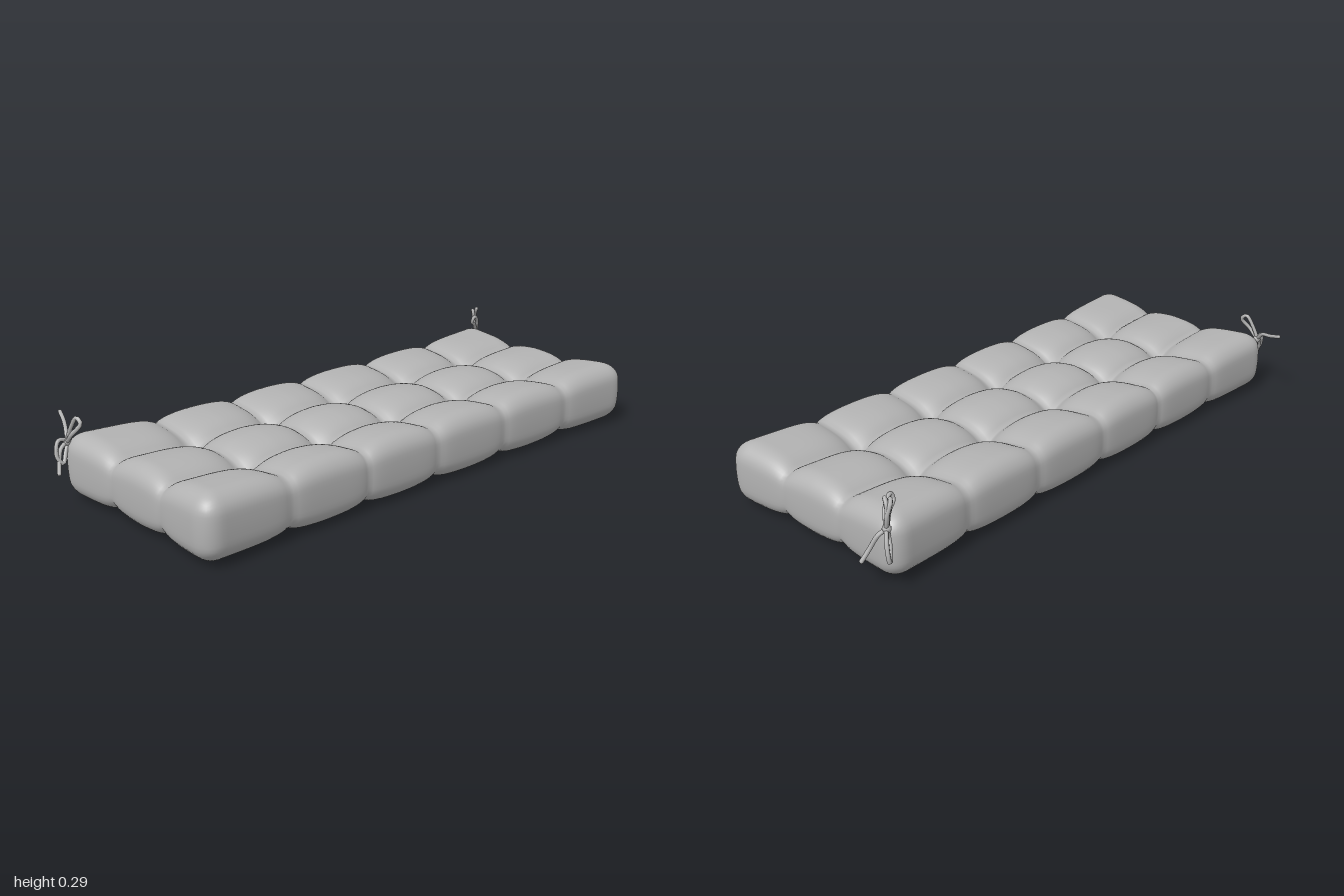
import * as THREE from 'three';
import { mergeVertices } from 'three/addons/utils/BufferGeometryUtils.js';

const HALF = new THREE.Vector3(0.925, 0.11, 0.36);
const CX = -0.012, CZ = 0.045;
const SEAM_X = [-0.63, -0.325, -0.022, 0.295, 0.608];
const SEAM_Z = [-0.078, 0.178];
const ROUND = 0.06;

const nearest = (v, list) => Math.min(...list.map((s) => Math.abs(v - s)));
const crease = (d, width) => Math.exp(-d / width);

// Height of the tufted upper (side = 1) or lower (side = -1) face
function faceHeight(x, z, side) {
  const ex = Math.min(1, Math.abs((x - CX) / HALF.x)), ez = Math.min(1, Math.abs((z - CZ) / HALF.z));
  const dx = nearest(x, SEAM_X), dz = nearest(z, SEAM_Z);
  const inner = (1 - ez ** 3) * (1 - ex ** 6);
  const pull = (0.024 + 0.018 * inner) * crease(dx, 0.042)
    + (0.032 + 0.014 * inner) * crease(dz, 0.042)
    + 0.014 * crease(Math.hypot(dx, dz), 0.05);
  if (side < 0) return 0.004 + 0.8 * pull + 0.012 * (ex * ez) ** 4;
  return 0.216 + 0.014 * ex ** 4 * ez ** 2 - pull;
}

// Rounded block whose faces are drawn in along the seams
function cushionGeometry() {
  let g = new THREE.BoxGeometry(HALF.x * 2, HALF.y * 2, HALF.z * 2, 130, 14, 60);
  g.deleteAttribute('uv');
  g.deleteAttribute('normal');
  g = mergeVertices(g);
  const pos = g.attributes.position;
  const inner = HALF.clone().subScalar(ROUND), low = inner.clone().negate();
  const p = new THREE.Vector3(), q = new THREE.Vector3();
  for (let i = 0; i < pos.count; i++) {
    p.fromBufferAttribute(pos, i);
    q.copy(p).clamp(low, inner);
    p.sub(q).setLength(ROUND).add(q);
    const u = p.x / HALF.x, v = p.y / HALF.y, w = p.z / HALF.z;
    const x0 = p.x + CX, z0 = p.z + CZ;
    const top = faceHeight(x0, z0, 1), bottom = faceHeight(x0, z0, -1);
    // Outline: flared corners, bulging sides and pinched seams
    const bulge = 0.01 * (1 - v * v);
    const pinchX = 0.006 * crease(nearest(z0, SEAM_Z), 0.03);
    const pinchZ = 0.01 * crease(nearest(x0, SEAM_X), 0.025);
    const x = x0 + Math.sign(u) * Math.abs(u) ** 6 * (0.02 * w * w - 0.008 + bulge - pinchX);
    const z = z0 + Math.sign(w) * Math.abs(w) ** 4 * (0.02 * u ** 4 - 0.006 + bulge - pinchZ);
    pos.setXYZ(i, x, THREE.MathUtils.lerp(bottom, top, (v + 1) / 2), z);
  }
  g.computeVertexNormals();
  return g;
}

export function createModel() {
  const model = new THREE.Group();
  model.name = 'tuftedBenchCushion';
  const fabric = new THREE.MeshStandardMaterial({ color: 0xb2b2b2 });
  fabric.name = 'grey fabric';

  const add = (parent, geometry, name) => {
    const mesh = new THREE.Mesh(geometry, fabric);
    mesh.name = name;
    parent.add(mesh);
    return mesh;
  };

  add(model, cushionGeometry(), 'cushion');

  // Buttons where the seams cross, above and below
  const buttons = new THREE.Group();
  buttons.name = 'buttons';
  model.add(buttons);
  const buttonGeometry = new THREE.SphereGeometry(0.011, 12, 8);
  for (const x of SEAM_X) for (const z of SEAM_Z) for (const side of [1, -1]) {
    const b = add(buttons, buttonGeometry, side > 0 ? 'topButton' : 'bottomButton');
    b.position.set(x, faceHeight(x, z, side) + side * 0.002, z);
    b.scale.y = 0.6;
  }

  // A tie bow: paths are offsets from the knot; closed ones are loops
  function bow(name, knot, loops, tails) {
    const group = new THREE.Group();
    group.name = name;
    group.position.set(...knot);
    model.add(group);
    add(group, new THREE.SphereGeometry(0.014, 12, 8), 'knot');
    const cord = (points, closed, label) => {
      const path = new THREE.CatmullRomCurve3(
        [[0, 0, 0], ...points].map((a) => new THREE.Vector3(...a)), closed);
      add(group, new THREE.TubeGeometry(path, 28, 0.0068, 8, closed), label);
      if (closed) return;
      const cap = add(group, new THREE.SphereGeometry(0.0068, 8, 6), 'tailEnd');
      cap.position.set(...points[points.length - 1]);
    };
    loops.forEach((l) => cord(l, true, 'loop'));
    tails.forEach((t) => cord(t, false, 'tail'));
  }

  bow('rightTie', [-0.94, 0.195, -0.305],
    [
      [[0.005, 0.05, 0.02], [0.012, 0.085, 0.045], [0.015, 0.07, 0.062], [-0.005, 0.03, 0.035]],
      [[-0.03, 0.01, 0], [-0.045, -0.035, 0.01], [-0.03, -0.06, 0.02], [-0.012, -0.03, 0.008]],
    ],
    [
      [[0.015, 0.03, -0.03], [0.035, 0.042, -0.075], [0.05, 0.055, -0.12]],
      [[-0.025, -0.015, 0.005], [-0.04, -0.05, 0.015], [-0.052, -0.085, 0.03]],
    ]);

  bow('leftTie', [0.925, 0.195, -0.305],
    [
      [[-0.015, 0.045, 0.004], [-0.02, 0.085, 0.002], [-0.008, 0.082, -0.012], [0.006, 0.04, -0.01]],
      [[-0.03, 0.035, 0.02], [-0.06, 0.055, 0.035], [-0.055, 0.075, 0.04], [-0.015, 0.05, 0.02]],
      [[0.02, -0.02, -0.02], [0.03, -0.06, -0.035], [0.025, -0.085, -0.036], [0.008, -0.045, -0.02]],
    ],
    [
      [[0.025, -0.015, 0.01], [0.045, -0.055, 0.025], [0.068, -0.088, 0.034]],
      [[0.004, 0.04, -0.01], [0.0, 0.075, -0.004], [-0.004, 0.093, 0.006]],
    ]);

  return model;
}
